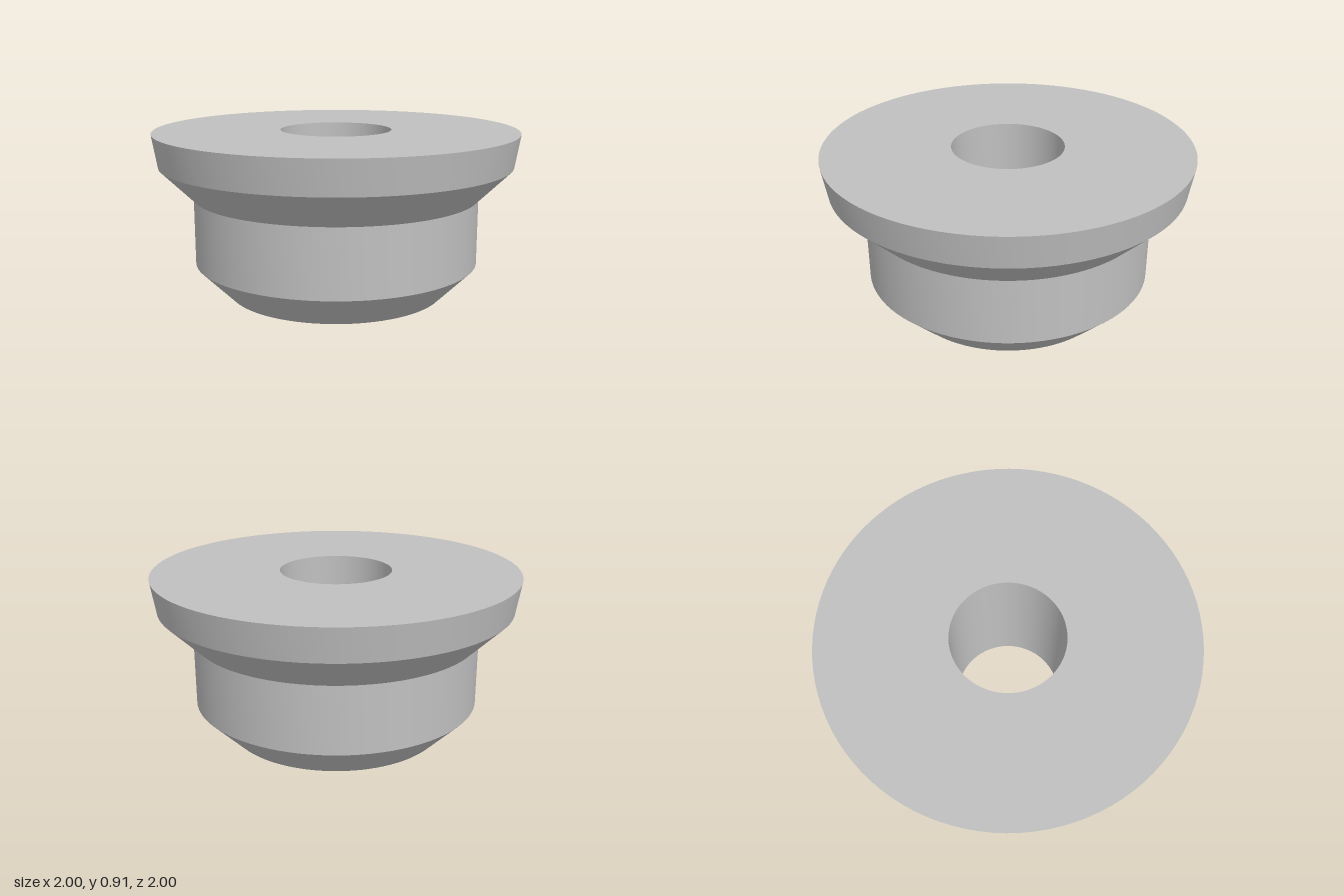
import * as THREE from 'three';
import { toCreasedNormals } from 'three/addons/utils/BufferGeometryUtils.js';

export function createModel() {
  const group = new THREE.Group();
  group.name = 'flangedBushing';

  const greyMetal = new THREE.MeshStandardMaterial({ color: 0xc0c0c0 });
  greyMetal.name = 'greyMetal';

  // Closed cross-section: base ring, chamfer, neck, flared flange, top ring, bore
  const boreRadius = 0.305;
  const profile = [
    [boreRadius, 0],
    [0.605, 0],
    [0.787, 0.183],
    [0.787, 0.549],
    [0.97, 0.73],
    [1, 0.91],
    [boreRadius, 0.91],
    [boreRadius, 0],
  ].map(([radius, y]) => new THREE.Vector2(radius, y));

  // Smooth around the axis, sharp at each profile corner
  const geometry = toCreasedNormals(new THREE.LatheGeometry(profile, 96), 0.5);
  const body = new THREE.Mesh(geometry, greyMetal);
  body.name = 'bushingBody';
  group.add(body);

  return group;
}
